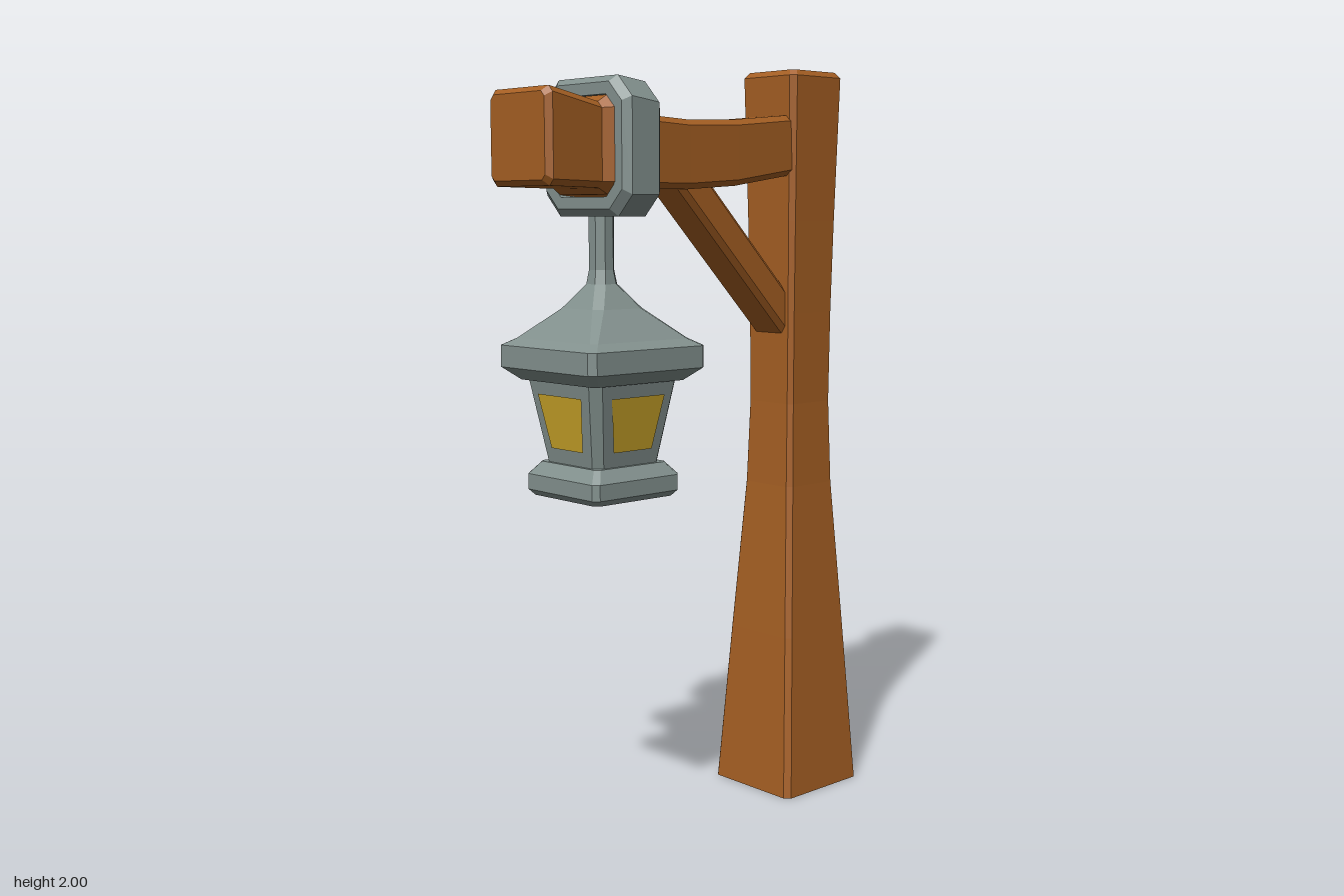
import * as THREE from 'three';

const wood = new THREE.MeshStandardMaterial({ color: 0xa55f23, side: THREE.DoubleSide });
wood.name = 'wood';
const metal = new THREE.MeshStandardMaterial({ color: 0x82908d });
metal.name = 'metal';
const glass = new THREE.MeshStandardMaterial({ color: 0xcca62a });
glass.name = 'glowing glass';

// Chamfered rectangle in the xy plane, counter-clockwise
function ring([z, hx, hy, c, cy = 0]) {
  return [
    [hx, c - hy], [hx, hy - c], [hx - c, hy], [c - hx, hy],
    [-hx, hy - c], [-hx, c - hy], [c - hx, -hy], [hx - c, -hy],
  ].map(([x, y]) => [x, y + cy, z]);
}

// Flat-faced loft along z through sections [z, halfWidth, halfHeight, chamfer, centreY]
function loft(sections, { start = true, end = true, closed = false } = {}) {
  const rings = sections.map(ring);
  const out = [];
  const tri = (...pts) => pts.forEach((p) => out.push(...p));
  const n = rings.length;
  for (let s = 0; s < (closed ? n : n - 1); s++) {
    const a = rings[s], b = rings[(s + 1) % n];
    for (let i = 0; i < 8; i++) {
      const j = (i + 1) % 8;
      tri(a[i], a[j], b[j]);
      tri(a[i], b[j], b[i]);
    }
  }
  for (let i = 1; i < 7 && !closed; i++) {
    const a = rings[0], b = rings[n - 1];
    if (start) tri(a[0], a[i + 1], a[i]);
    if (end) tri(b[0], b[i], b[i + 1]);
  }
  const g = new THREE.BufferGeometry();
  g.setAttribute('position', new THREE.Float32BufferAttribute(out, 3));
  g.computeVertexNormals();
  return g;
}

// Square loft standing upright: [y, half, chamfer]
const upright = (list, opts) =>
  loft(list.map(([y, h, c]) => [y, h, h, c]), opts).rotateX(-Math.PI / 2);

export function createModel() {
  const model = new THREE.Group();
  model.name = 'hangingLanternPost';
  const add = (name, geometry, material, parent = model) => {
    const mesh = new THREE.Mesh(geometry, material);
    mesh.name = name;
    parent.add(mesh);
    return mesh;
  };

  // Waisted post, open underneath
  const post = add('post', upright([
    [0, 0.147, 0.015], [0.45, 0.118, 0.014], [0.87, 0.09, 0.013], [1.1, 0.083, 0.012],
    [1.35, 0.085, 0.012], [1.6, 0.09, 0.013], [1.985, 0.1, 0.015], [2, 0.088, 0.012],
  ], { start: false }), wood);
  post.position.z = -0.395;

  // Sagging beam, swelling inside the band and flaring at its tip
  add('beam', loft([
    [-0.34, 0.085, 0.08, 0.015, 1.803], [-0.3, 0.086, 0.08, 0.015, 1.8],
    [-0.1, 0.092, 0.085, 0.015, 1.776], [0.07, 0.094, 0.087, 0.015, 1.767],
    [0.21, 0.097, 0.09, 0.015, 1.77], [0.24, 0.122, 0.122, 0.03, 1.777],
    [0.345, 0.122, 0.118, 0.03, 1.783], [0.37, 0.103, 0.102, 0.015, 1.782],
    [0.53, 0.118, 0.115, 0.015, 1.798], [0.545, 0.105, 0.102, 0.012, 1.798],
  ]), wood);

  // Diagonal brace
  const brace = add('brace', loft([
    [-0.276, 0.062, 0.046, 0.014], [0.276, 0.062, 0.046, 0.014],
  ]), wood);
  brace.rotation.x = -Math.PI / 4;
  brace.position.set(0, 1.52, -0.15);

  // Metal band round the beam, its upper half following the slope of the wood
  const band = loft([
    [0.224, 0.147, 0.147, 0.047], [0.242, 0.165, 0.165, 0.052],
    [0.328, 0.165, 0.165, 0.052], [0.346, 0.147, 0.147, 0.047],
    [0.346, 0.118, 0.118, 0.03], [0.224, 0.118, 0.118, 0.03],
  ], { closed: true });
  const p = band.attributes.position;
  for (let i = 0; i < p.count; i++) {
    if (p.getY(i) > 0) p.setY(i, p.getY(i) + 0.13 * (p.getZ(i) - 0.285));
  }
  band.computeVertexNormals();
  add('band', band, metal).position.y = 1.777;

  // Lantern: foot, tapered body, eave, swept roof and hanging rod
  const lantern = new THREE.Group();
  lantern.name = 'lantern';
  lantern.position.z = 0.289;
  model.add(lantern);
  add('lanternFoot', upright([
    [0.91, 0.128, 0.012], [0.925, 0.141, 0.014], [0.965, 0.141, 0.014], [0.997, 0.115, 0.012],
  ]), metal, lantern);
  add('lanternBody', upright([[0.99, 0.105, 0.02], [1.215, 0.143, 0.024]]), metal, lantern);
  add('lanternRoof', upright([
    [1.205, 0.15, 0.012], [1.237, 0.188, 0.016], [1.292, 0.188, 0.016], [1.31, 0.158, 0.014],
    [1.385, 0.08, 0.02], [1.445, 0.036, 0.019], [1.48, 0.03, 0.017], [1.64, 0.03, 0.017],
  ]), metal, lantern);

  // One trapezoid window on each side of the body
  const pane = new THREE.BufferGeometry();
  pane.setAttribute('position', new THREE.Float32BufferAttribute([
    -0.062, 1.035, 0.116, 0.062, 1.035, 0.116, 0.086, 1.172, 0.139, -0.086, 1.172, 0.139,
  ], 3));
  pane.setIndex([0, 1, 2, 0, 2, 3]);
  pane.computeVertexNormals();
  for (let i = 0; i < 4; i++) {
    add('window' + (i + 1), pane, glass, lantern).rotation.y = (i * Math.PI) / 2;
  }

  return model;
}
